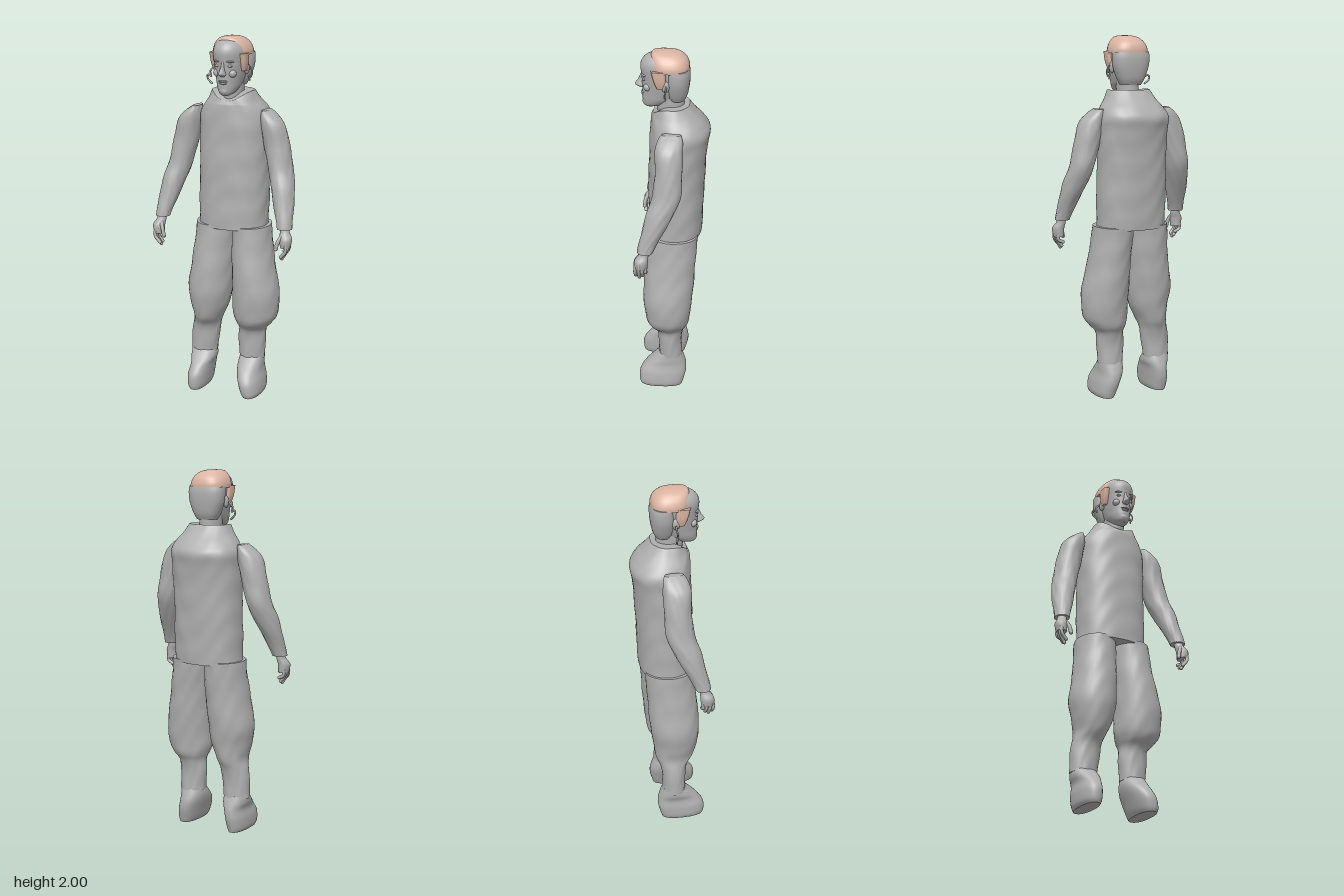
import * as THREE from 'three';

const grey = new THREE.MeshStandardMaterial({ color: 0xb0b0b0, side: THREE.DoubleSide });
grey.name = 'plain grey';
const pink = new THREE.MeshStandardMaterial({ color: 0xdcb5a3, side: THREE.DoubleSide });
pink.name = 'pale pink hair';

// Cross-sections [y, xMin, xMax, zMin, zMax], bottom to top, smoothed into a closed body.
// power > 2 squares the sections; adjust(point, angle, t) may shift each vertex.
function loft(rows, { power = 2, seg = 36, steps = 5, adjust } = {}) {
  const spline = (k, t) => {
    const i = Math.min(Math.floor(t), rows.length - 2), f = t - i;
    const at = (j) => rows[Math.max(0, Math.min(rows.length - 1, j))][k];
    const [a, b, c, d] = [at(i - 1), at(i), at(i + 1), at(i + 2)];
    return b + 0.5 * f * (c - a + f * (2 * a - 5 * b + 4 * c - d + f * (3 * (b - c) + d - a)));
  };
  const pos = [], index = [], n = (rows.length - 1) * steps;
  const p = new THREE.Vector3();
  const round = (v) => Math.sign(v) * Math.abs(v) ** (2 / power);
  for (let r = 0; r <= n; r++) {
    const [y, x0, x1, z0, z1] = [0, 1, 2, 3, 4].map((k) => spline(k, r / steps));
    for (let s = 0; s < seg; s++) {
      const a = (s / seg) * Math.PI * 2;
      p.set((x0 + x1) / 2 + round(Math.cos(a)) * (x1 - x0) / 2, y, (z0 + z1) / 2 + round(Math.sin(a)) * (z1 - z0) / 2);
      if (adjust) adjust(p, a, r / n);
      pos.push(p.x, p.y, p.z);
    }
  }
  for (let r = 0; r < n; r++) for (let s = 0; s < seg; s++) {
    const a = r * seg + s, b = r * seg + (s + 1) % seg;
    index.push(a, a + seg, b, b, a + seg, b + seg);
  }
  // end caps with their own vertices, so the hems stay sharp
  for (const r of [0, n]) {
    const base = pos.length / 3, c = [0, 0, 0];
    for (let s = 0; s < seg; s++) for (let k = 0; k < 3; k++) {
      const v = pos[(r * seg + s) * 3 + k];
      pos.push(v);
      c[k] += v / seg;
    }
    pos.push(...c);
    for (let s = 0; s < seg; s++) {
      const a = base + s, b = base + (s + 1) % seg;
      index.push(base + seg, ...(r ? [b, a] : [a, b]));
    }
  }
  const g = new THREE.BufferGeometry();
  g.setAttribute('position', new THREE.Float32BufferAttribute(pos, 3));
  g.setIndex(index);
  g.computeVertexNormals();
  return g;
}

function add(parent, name, geometry, material = grey) {
  const mesh = new THREE.Mesh(geometry, material);
  mesh.name = name;
  parent.add(mesh);
  return mesh;
}

function blob(parent, name, [x, y, z], [rx, ry, rz]) {
  const m = add(parent, name, new THREE.SphereGeometry(1, 18, 12));
  m.position.set(x, y, z);
  m.scale.set(rx, ry, rz);
  return m;
}

function tube(parent, name, points, radius) {
  const curve = new THREE.CatmullRomCurve3(points.map((q) => new THREE.Vector3(...q)));
  return add(parent, name, new THREE.TubeGeometry(curve, 14, radius, 8));
}

// soft cloth unevenness
function cloth(p, a) {
  const w = 0.0025 * Math.sin(p.y * 31 + Math.sin(a * 3) * 2) * Math.sin(a * 5 + p.y * 9);
  p.x += Math.cos(a) * w;
  p.z += Math.sin(a) * w;
}

function makeHead() {
  const head = new THREE.Group();
  head.name = 'head';
  const cx = 0.015;
  const sym = (rows) => rows.map(([y, w, z0, z1]) => [y, cx - w, cx + w, z0, z1]);
  add(head, 'neck', loft(sym([[1.62, 0.06, -0.06, 0.08], [1.68, 0.056, -0.058, 0.085], [1.78, 0.058, -0.06, 0.1]])));
  add(head, 'skull', loft(sym([
    [1.692, 0.016, 0.1, 0.142], [1.705, 0.038, 0.05, 0.156], [1.735, 0.057, -0.01, 0.16],
    [1.77, 0.068, -0.055, 0.161], [1.81, 0.078, -0.075, 0.162], [1.87, 0.088, -0.083, 0.165],
    [1.92, 0.09, -0.08, 0.17], [1.955, 0.08, -0.068, 0.157], [1.98, 0.055, -0.04, 0.125], [1.99, 0.01, 0.03, 0.06],
  ])));
  // face
  add(head, 'nose', loft(sym([[1.797, 0.01, 0.14, 0.175], [1.808, 0.019, 0.13, 0.194], [1.818, 0.016, 0.13, 0.199], [1.84, 0.011, 0.13, 0.183], [1.875, 0.009, 0.13, 0.167]]), { seg: 16 }));
  blob(head, 'upperLip', [cx, 1.772, 0.157], [0.025, 0.006, 0.012]);
  blob(head, 'lowerLip', [cx, 1.761, 0.156], [0.021, 0.007, 0.011]);
  blob(head, 'chin', [cx, 1.72, 0.146], [0.024, 0.02, 0.015]);
  for (const s of [-1, 1]) {
    blob(head, 'eye', [cx + s * 0.035, 1.853, 0.149], [0.015, 0.007, 0.01]);
    const brow = blob(head, 'brow', [cx + s * 0.036, 1.876, 0.15], [0.023, 0.006, 0.011]);
    brow.rotation.y = s * 0.35;
    blob(head, 'cheek', [cx + s * 0.04, 1.812, 0.132], [0.025, 0.022, 0.02]);
    blob(head, 'ear', [cx + s * 0.085, 1.83, 0.035], [0.013, 0.032, 0.02]);
  }
  // hair: grey back, pink crown and sideburns
  add(head, 'backHair', loft(sym([
    [1.735, 0.058, -0.062, 0.02], [1.77, 0.078, -0.078, 0.036], [1.83, 0.1, -0.088, 0.042], [1.88, 0.106, -0.09, 0.042], [1.912, 0.104, -0.085, 0.042],
  ]), { power: 2.4 }));
  add(head, 'sideburns', loft(sym([[1.82, 0.092, 0.035, 0.085], [1.86, 0.102, 0.03, 0.1], [1.915, 0.105, 0.03, 0.114]]), { power: 5 }), pink);
  add(head, 'crownHair', loft(sym([
    [1.905, 0.104, -0.086, 0.114], [1.93, 0.103, -0.085, 0.118], [1.96, 0.09, -0.073, 0.118],
    [1.985, 0.066, -0.045, 0.113], [1.996, 0.04, -0.012, 0.1], [2.0, 0.008, 0.03, 0.05],
  ]), { power: 2.5 }), pink);
  // loose curls
  tube(head, 'rightCurl', [[-0.09, 1.83, 0.03], [-0.112, 1.8, 0.035], [-0.1, 1.775, 0.04], [-0.127, 1.785, 0.035], [-0.128, 1.76, 0.03], [-0.1, 1.735, 0.035]], 0.005);
  tube(head, 'leftCurl', [[0.115, 1.84, 0.03], [0.132, 1.81, 0.035], [0.12, 1.78, 0.04], [0.11, 1.795, 0.04], [0.118, 1.765, 0.035]], 0.004);
  return head;
}

// left arm; the right one is its mirror image
function makeArm() {
  const arm = new THREE.Group();
  add(arm, 'sleeve', loft([
    [1.0, 0.318, 0.402, 0.09, 0.172], [1.05, 0.305, 0.397, 0.066, 0.162], [1.2, 0.257, 0.383, -0.015, 0.128],
    [1.3, 0.227, 0.361, -0.055, 0.095], [1.42, 0.198, 0.336, -0.062, 0.083], [1.53, 0.177, 0.308, -0.062, 0.083],
    [1.58, 0.177, 0.265, -0.06, 0.072], [1.61, 0.182, 0.222, -0.05, 0.05],
  ], { adjust: cloth }));
  const hand = new THREE.Group();
  hand.name = 'hand';
  arm.add(hand);
  add(hand, 'palm', loft([[0.905, 0.345, 0.4, 0.118, 0.188], [0.95, 0.342, 0.408, 0.115, 0.188], [0.985, 0.338, 0.39, 0.112, 0.165], [1.02, 0.34, 0.385, 0.11, 0.155]], { seg: 20 }));
  for (let i = 0; i < 4; i++) {
    const z = 0.126 + i * 0.018, tip = [0.868, 0.845, 0.835, 0.848][i];
    tube(hand, 'finger', [[0.384, 0.93, z], [0.384, 0.89, z + 0.003], [0.358, tip + 0.008, z + 0.001]], 0.0095);
    blob(hand, 'fingertip', [0.358, tip + 0.008, z + 0.001], [0.0095, 0.0095, 0.0095]);
  }
  tube(hand, 'thumb', [[0.36, 0.975, 0.16], [0.34, 0.935, 0.18], [0.331, 0.898, 0.185]], 0.011);
  blob(hand, 'thumbTip', [0.331, 0.898, 0.185], [0.011, 0.011, 0.011]);
  return arm;
}

export function createModel() {
  const model = new THREE.Group();
  model.name = 'standingFigure';
  model.add(makeHead());

  // tunic with a high back collar that dips at the throat
  add(model, 'tunic', loft([
    [0.955, -0.185, 0.203, -0.157, 0.137], [1.1, -0.185, 0.204, -0.165, 0.135], [1.3, -0.184, 0.203, -0.172, 0.132],
    [1.48, -0.186, 0.207, -0.185, 0.126], [1.56, -0.188, 0.209, -0.198, 0.122], [1.61, -0.168, 0.193, -0.172, 0.118],
    [1.66, -0.13, 0.156, -0.13, 0.112], [1.71, -0.1, 0.128, -0.09, 0.105],
  ], {
    power: 2.25, seg: 64, steps: 8,
    adjust: (p, a, t) => {
      cloth(p, a);
      if (t > 0.8) p.y -= 0.05 * ((t - 0.8) / 0.2) * Math.max(0, Math.sin(a)) ** 3;
    },
  }));

  for (const side of [1, -1]) {
    const arm = makeArm();
    arm.name = side > 0 ? 'leftArm' : 'rightArm';
    arm.scale.x = side;
    model.add(arm);
  }

  // baggy trousers, each leg hanging in its own way
  add(model, 'leftTrouserLeg', loft([
    [0.195, 0.058, 0.202, -0.058, 0.074], [0.3, 0.052, 0.206, -0.055, 0.078], [0.37, 0.055, 0.212, -0.066, 0.09],
    [0.415, 0.04, 0.25, -0.09, 0.128], [0.47, 0.028, 0.28, -0.1, 0.147], [0.6, 0.024, 0.283, -0.115, 0.16],
    [0.75, 0.018, 0.254, -0.125, 0.15], [0.88, 0.012, 0.232, -0.135, 0.135], [0.97, 0.01, 0.224, -0.14, 0.128],
  ], { adjust: cloth }));
  add(model, 'rightTrouserLeg', loft([
    [0.195, -0.238, -0.088, -0.055, 0.074], [0.28, -0.236, -0.078, -0.055, 0.078], [0.36, -0.226, -0.066, -0.065, 0.088],
    [0.42, -0.214, -0.046, -0.088, 0.125], [0.5, -0.228, -0.012, -0.1, 0.148], [0.6, -0.243, 0.006, -0.115, 0.16],
    [0.75, -0.222, 0.016, -0.125, 0.15], [0.88, -0.207, 0.018, -0.135, 0.135], [0.97, -0.2, 0.018, -0.14, 0.128],
  ], { adjust: cloth }));

  // soft shoes
  add(model, 'leftShoe', loft([
    [0, 0.115, 0.208, -0.058, 0.178], [0.025, 0.1, 0.217, -0.066, 0.186], [0.08, 0.082, 0.212, -0.08, 0.184],
    [0.13, 0.066, 0.2, -0.08, 0.153], [0.17, 0.06, 0.198, -0.068, 0.112], [0.21, 0.065, 0.196, -0.052, 0.07],
  ], { power: 2.3 }));
  add(model, 'rightShoe', loft([
    [0, -0.21, -0.122, -0.058, 0.178], [0.025, -0.222, -0.112, -0.066, 0.186], [0.08, -0.224, -0.106, -0.08, 0.184],
    [0.13, -0.218, -0.1, -0.08, 0.153], [0.17, -0.23, -0.088, -0.068, 0.112], [0.21, -0.232, -0.094, -0.052, 0.07],
  ], { power: 2.3 }));
  return model;
}
